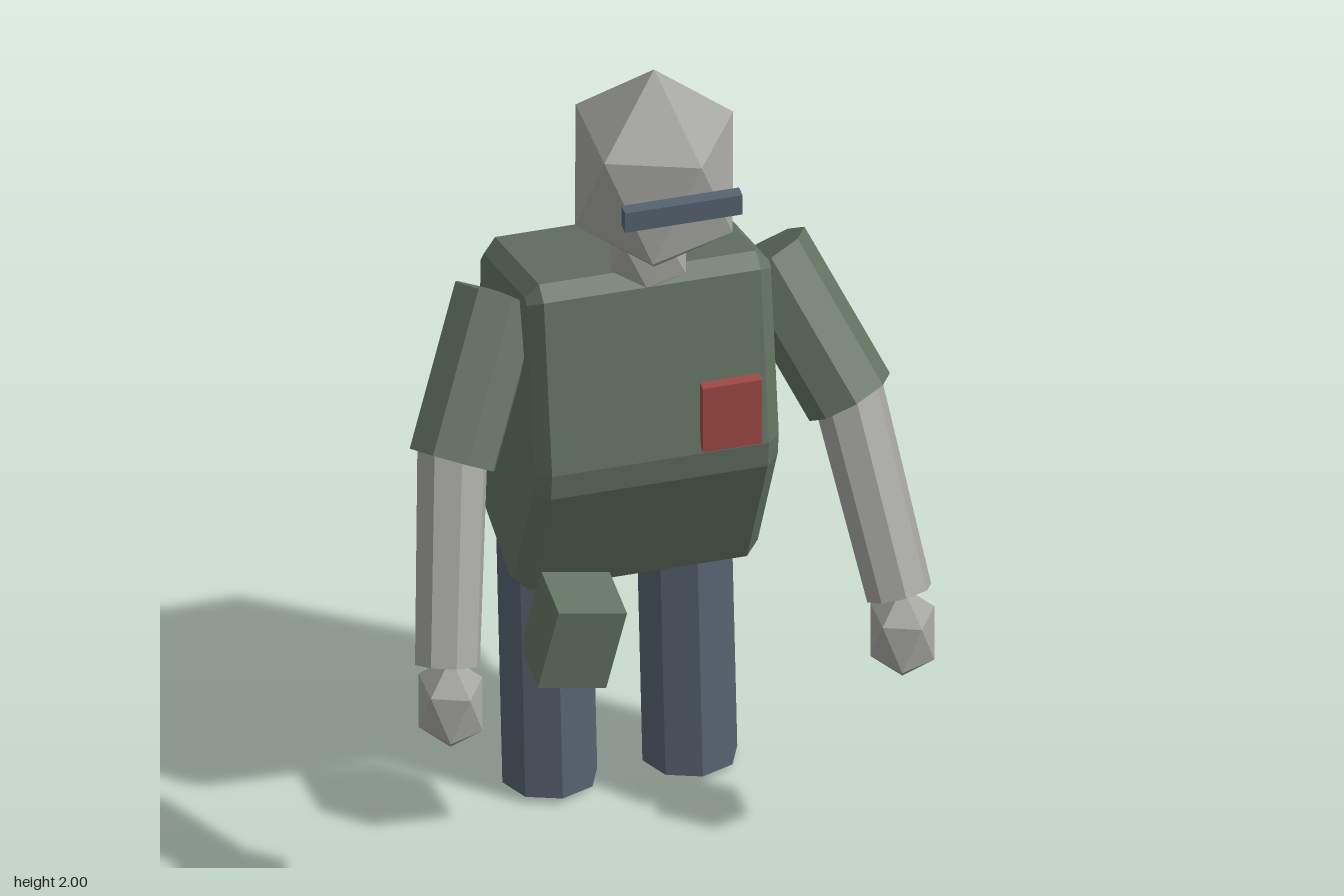
import * as THREE from 'three';

const mat = (name, color) => {
  const m = new THREE.MeshStandardMaterial({ color });
  m.name = name;
  m.flatShading = true;
  return m;
};

export function createModel() {
  const group = new THREE.Group();
  const green = mat('greenCloth', 0x647364);
  const grey = mat('paleGrey', 0xa5a5a1);
  const slate = mat('slateBlue', 0x56636f);
  const red = mat('red', 0xa04a44);

  const add = (name, geometry, material) => {
    const mesh = new THREE.Mesh(geometry, material);
    mesh.name = name;
    group.add(mesh);
    return mesh;
  };

  const box = (name, size, pos, material) => {
    const mesh = add(name, new THREE.BoxGeometry(...size), material);
    mesh.position.set(...pos);
    return mesh;
  };

  // Eight-sided limb from a top point to a bottom point
  const limb = (name, top, bottom, rTop, rBottom, material) => {
    const a = new THREE.Vector3(...top);
    const b = new THREE.Vector3(...bottom);
    const axis = a.clone().sub(b);
    const mesh = add(name, new THREE.CylinderGeometry(rTop, rBottom, axis.length(), 8), material);
    mesh.position.copy(a).add(b).multiplyScalar(0.5);
    mesh.quaternion.setFromUnitVectors(new THREE.Vector3(0, 1, 0), axis.normalize());
  };

  // Stretched icosahedron standing on one of its corners
  const gem = (name, scale, pos) => {
    const geometry = new THREE.IcosahedronGeometry(1, 0);
    geometry.rotateZ(-Math.atan2(0.5257, 0.8507));
    geometry.scale(...scale);
    add(name, geometry, grey).position.set(...pos);
  };

  // Torso: side profile (z, y) with cut corners, extruded across the body
  const corners = [[0.09, 1.46], [-0.33, 1.325], [-0.37, 0.655], [-0.03, 0.575], [0.168, 0.985]]
    .map(([z, y]) => new THREE.Vector2(z, y));
  const profile = [];
  corners.forEach((p, i) => {
    const prev = corners[(i + 4) % 5];
    const next = corners[(i + 1) % 5];
    for (const q of [prev, next]) {
      profile.push(p.clone().add(q.clone().sub(p).setLength(0.035)));
    }
  });
  const torso = new THREE.ExtrudeGeometry(new THREE.Shape(profile), {
    depth: 0.48, bevelEnabled: true, bevelThickness: 0.03,
    bevelSize: 0.03, bevelOffset: -0.03, bevelSegments: 1,
  });
  torso.translate(0, 0, -0.24);
  torso.rotateY(-Math.PI / 2);
  add('torso', torso, green);

  // Head, neck and visor
  gem('head', [0.196, 0.257, 0.22], [0, 1.743, 0.11]);
  gem('neck', [0.095, 0.108, 0.096], [0, 1.51, 0.065]);
  box('visor', [0.26, 0.05, 0.03], [0, 1.785, 0.335], slate);

  // Chest badge and hip pouch
  box('chestBadge', [0.13, 0.165, 0.025], [0.155, 1.115, 0.165], red);
  box('hipPouch', [0.155, 0.205, 0.14], [-0.168, 0.55, 0.075], green).rotation.set(0.1, 0, -0.2);

  // Arms and legs
  for (const [side, s] of [['left', 1], ['right', -1]]) {
    limb(side + 'UpperArm', [s * 0.295, 1.35, -0.075], [s * 0.44, 1.05, 0.085], 0.1, 0.1, green);
    limb(side + 'Forearm', [s * 0.435, 1.08, 0.07], [s * 0.5, 0.65, 0.265], 0.078, 0.072, grey);
    gem(side + 'Hand', [0.079, 0.116, 0.094], [s * 0.5, 0.568, 0.29]);
    limb(side + 'Leg', [s * 0.155, 0.72, -0.222], [s * 0.155, 0.01, -0.165], 0.105, 0.105, slate);
  }

  return group;
}
